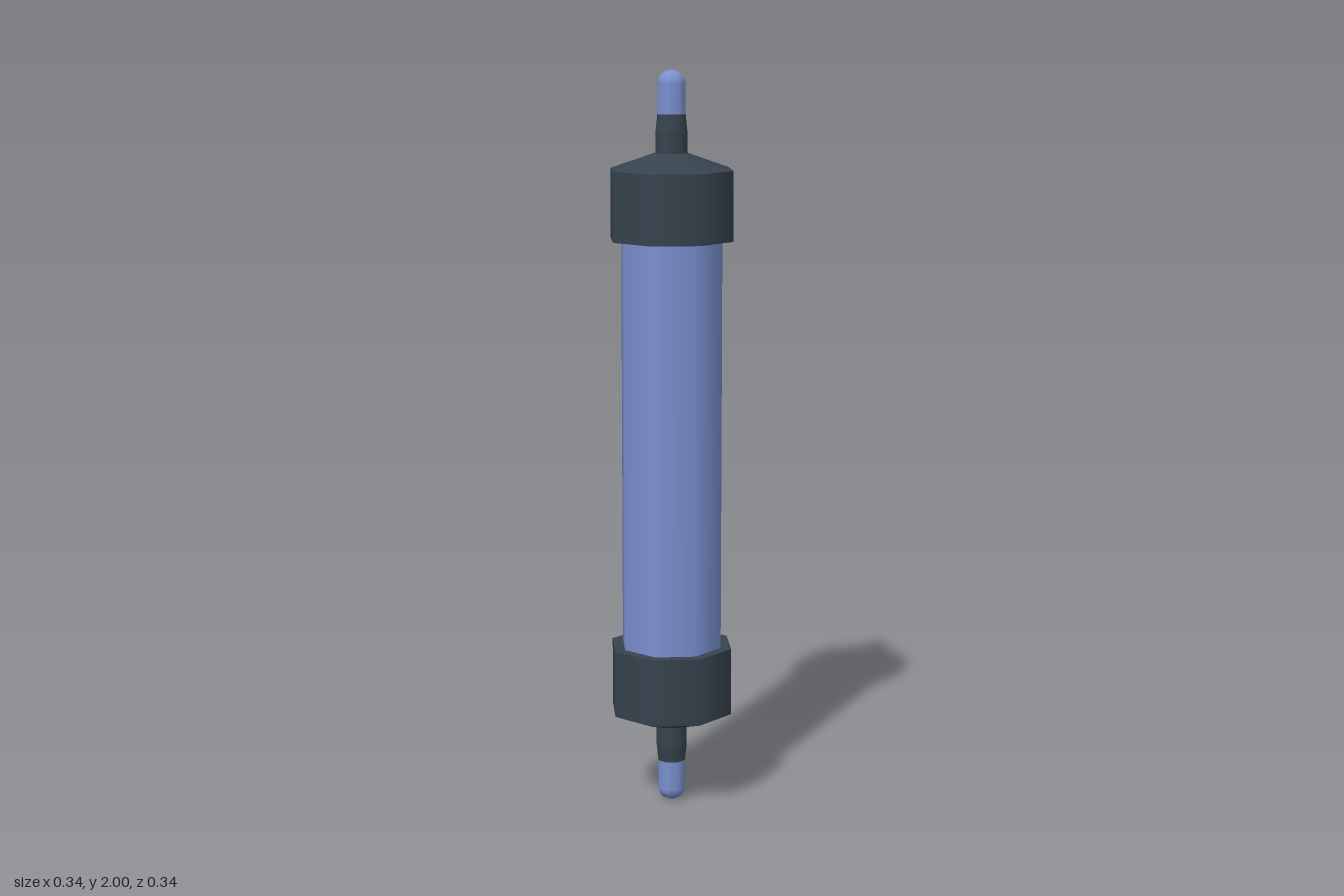
import * as THREE from 'three';

const SIDES = 8;
const blue = new THREE.MeshStandardMaterial({ color: 0x7b90d0 });
const dark = new THREE.MeshStandardMaterial({ color: 0x37434e });

// Eight-sided, smooth-shaded frustum between two heights
function frustum(name, material, y0, y1, r0, r1, open = false) {
  const geometry = new THREE.CylinderGeometry(r1, r0, y1 - y0, SIDES, 1, open);
  const mesh = new THREE.Mesh(geometry, material);
  mesh.position.y = (y0 + y1) / 2;
  mesh.name = name;
  return mesh;
}

// One end fitting, heights measured from the middle of the model
function createEnd(name) {
  const end = new THREE.Group();
  end.name = name;

  // Collar around the tube, with its shallow cone
  end.add(frustum('collar', dark, 0.555, 0.74, 0.171, 0.171));
  end.add(frustum('collarCone', dark, 0.74, 0.785, 0.171, 0.04, true));

  // Narrow stem, tapering to the tip
  end.add(frustum('stem', dark, 0.77, 0.84, 0.044, 0.044));
  end.add(frustum('stemTaper', dark, 0.84, 0.885, 0.044, 0.039));

  // Rounded tip: a straight side and a softly domed end
  const profile = [new THREE.Vector2(0.039, 0.88), new THREE.Vector2(0.039, 0.965)];
  for (let i = 1; i <= 5; i++) {
    const a = (i / 5) * Math.PI / 2;
    profile.push(new THREE.Vector2(0.039 * Math.cos(a), 0.965 + 0.035 * Math.sin(a)));
  }
  const tip = new THREE.Mesh(new THREE.LatheGeometry(profile, SIDES), blue);
  tip.name = 'tip';
  end.add(tip);
  return end;
}

export function createModel() {
  const model = new THREE.Group();
  model.name = 'cappedTube';

  // Main tube
  model.add(frustum('tube', blue, 0.4, 1.6, 0.141, 0.141));

  // Matching fittings at both ends
  const top = createEnd('topFitting');
  top.position.y = 1;
  const bottom = createEnd('bottomFitting');
  bottom.position.y = 1;
  bottom.rotation.x = Math.PI;
  model.add(top, bottom);
  return model;
}
